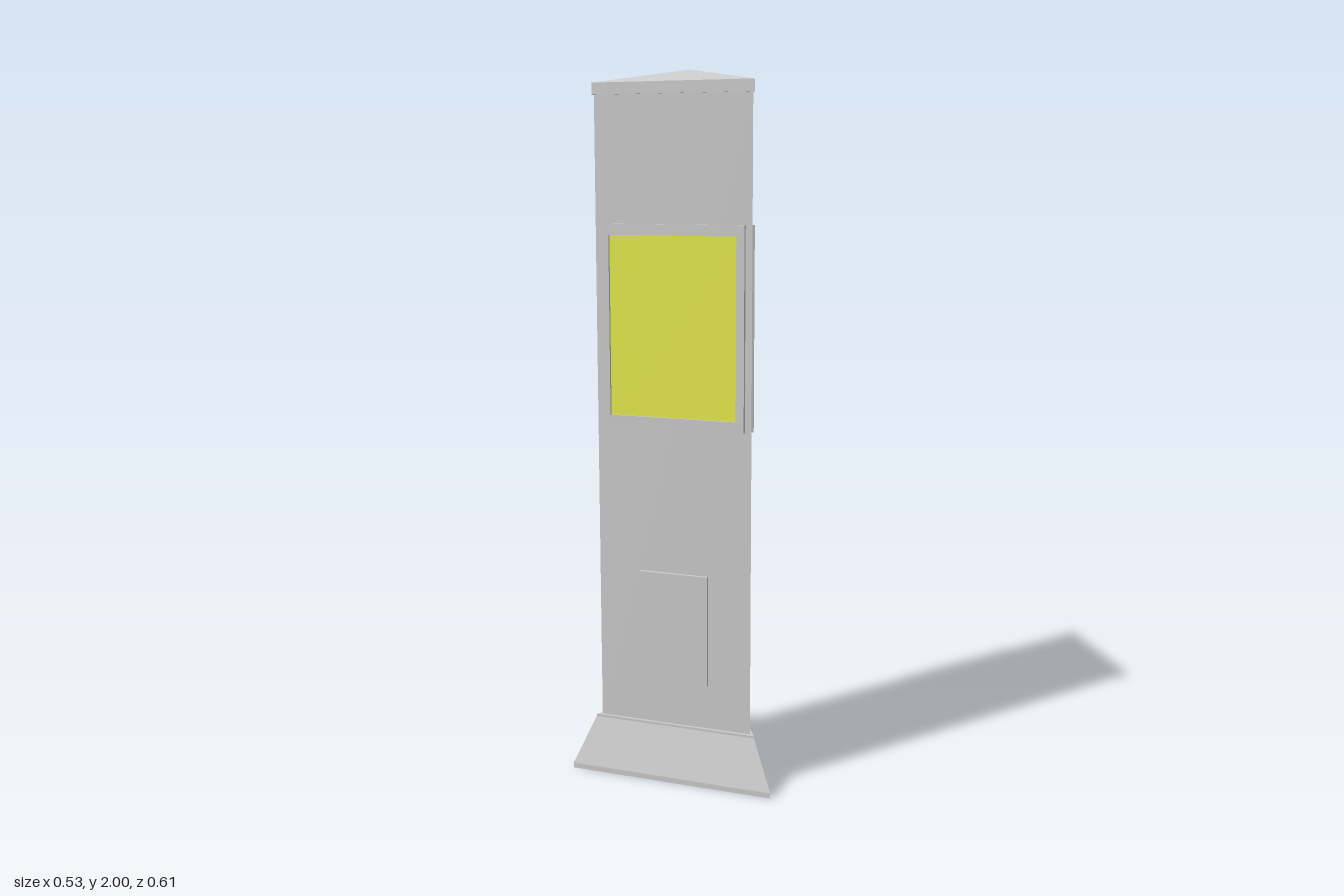
import * as THREE from 'three';

const AXIS_X = -0.088; // centre of the triangle, so the whole is centred in x
const FACE = 0.1317;   // distance from the axis to each column face

const grey = new THREE.MeshStandardMaterial({ color: 0xcccccc, flatShading: true });
const yellow = new THREE.MeshStandardMaterial({ color: 0xe6ea48, flatShading: true });

function add(parent, name, geometry, material = grey) {
  const mesh = new THREE.Mesh(geometry, material);
  mesh.name = name;
  parent.add(mesh);
  return mesh;
}

// Three-sided prism or frustum with one corner towards +x
function prism(parent, name, y0, y1, r0, r1) {
  const geometry = new THREE.CylinderGeometry(r1, r0, y1 - y0, 3, 1, false, Math.PI / 2);
  return add(parent, name, geometry.translate(0, (y0 + y1) / 2, 0));
}

function rectangle(target, halfWidth, y0, y1) {
  target.moveTo(-halfWidth, y0);
  target.lineTo(halfWidth, y0);
  target.lineTo(halfWidth, y1);
  target.lineTo(-halfWidth, y1);
  target.closePath();
  return target;
}

export function createModel() {
  const model = new THREE.Group();
  model.name = 'triangularPillar';
  const body = new THREE.Group();
  body.name = 'body';
  body.position.x = AXIS_X;
  model.add(body);

  // Flared base with a thin lip below and above
  prism(body, 'baseLip', 0, 0.015, 0.351, 0.351);
  prism(body, 'baseFlare', 0.015, 0.155, 0.351, 0.281);
  prism(body, 'baseTop', 0.155, 0.162, 0.281, 0.281);

  // Column, cap and low pyramid roof
  prism(body, 'column', 0.162, 1.93, 0.2634, 0.2634);
  prism(body, 'cap', 1.93, 1.962, 0.27, 0.27);
  const roof = new THREE.ConeGeometry(0.27, 0.038, 3, 1, false, Math.PI / 2);
  add(body, 'roof', roof.translate(0, 1.981, 0));

  // Raised frame around a coloured panel on each face
  const outline = rectangle(new THREE.Shape(), 0.209, 1.025, 1.585);
  outline.holes.push(rectangle(new THREE.Path(), 0.186, 1.055, 1.555));
  const frame = new THREE.ExtrudeGeometry(outline, { depth: 0.012, bevelEnabled: false });
  frame.translate(0, 0, FACE - 0.002);
  const panel = new THREE.BoxGeometry(0.372, 0.5, 0.006).translate(0, 1.305, FACE);

  for (let i = 0; i < 3; i++) {
    const side = new THREE.Group();
    side.name = 'side' + (i + 1);
    side.rotation.y = Math.PI / 6 + (i * Math.PI * 2) / 3;
    body.add(side);
    add(side, 'panelFrame', frame);
    add(side, 'panel', panel, yellow);
    // Service hatch on the front face only
    if (i === 0) {
      add(side, 'hatch', new THREE.BoxGeometry(0.205, 0.32, 0.014).translate(0, 0.45, FACE + 0.003));
    }
  }
  return model;
}
